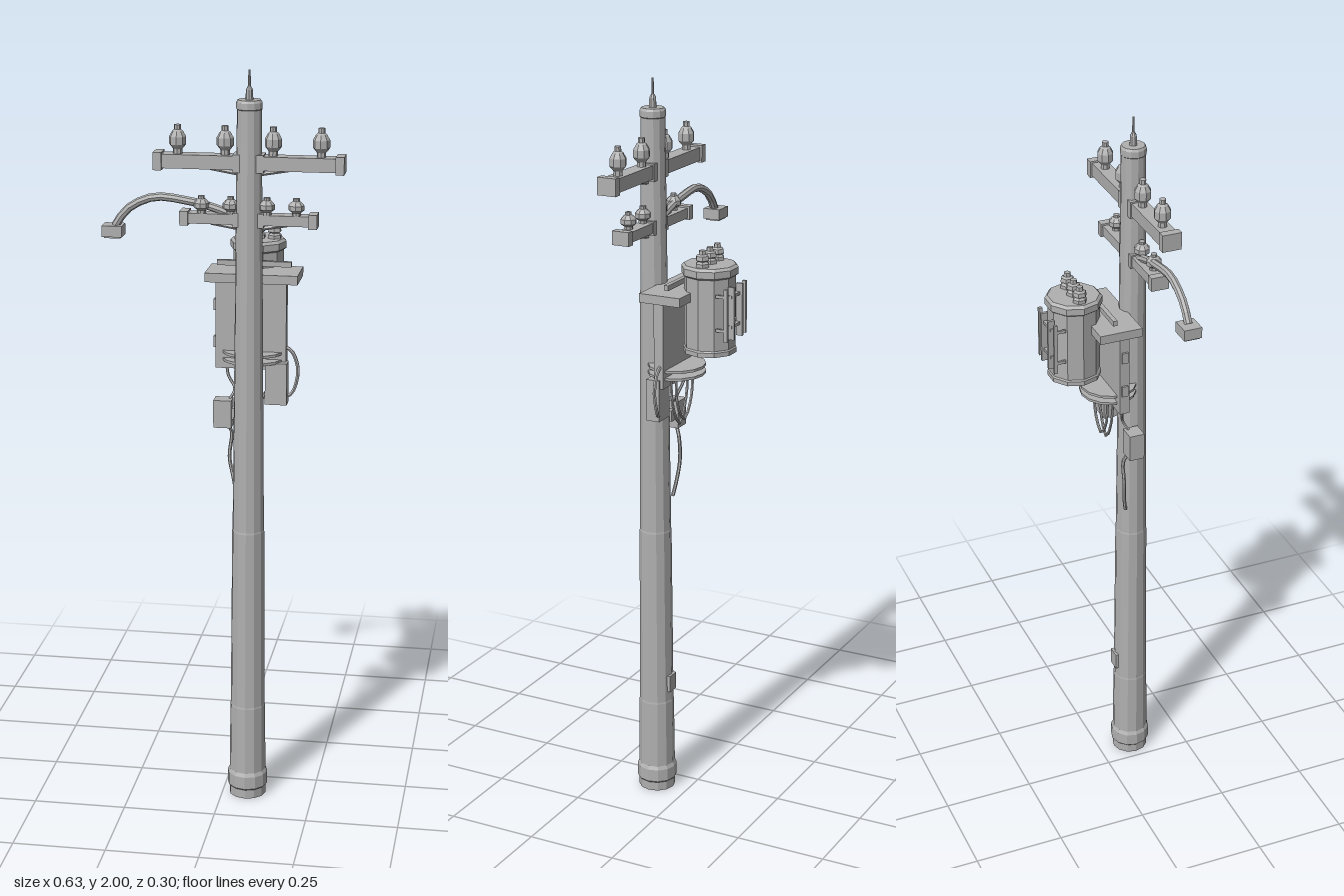
import * as THREE from 'three';

export function createModel() {
  const model = new THREE.Group();
  model.name = 'utilityPole';
  const grey = new THREE.MeshStandardMaterial({ color: 0xb0b0b0, flatShading: true, side: THREE.DoubleSide });
  grey.name = 'plain grey';
  const PX = 0.068, PZ = 0.095; // pole axis

  const add = (name, geo, x = 0, y = 0, z = 0) => {
    const m = new THREE.Mesh(geo, grey);
    m.name = name;
    m.position.set(x, y, z);
    model.add(m);
    return m;
  };
  // box given by its min and max corners
  const box = (name, x0, x1, y0, y1, z0, z1) =>
    add(name, new THREE.BoxGeometry(x1 - x0, y1 - y0, z1 - z0), (x0 + x1) / 2, (y0 + y1) / 2, (z0 + z1) / 2);
  const lathe = (name, pts, sides, x, y, z) =>
    add(name, new THREE.LatheGeometry(pts.map(p => new THREE.Vector2(...p)), sides), x, y, z);
  const tube = (name, pts, r, sides = 6, segs = 12) =>
    add(name, new THREE.TubeGeometry(new THREE.CatmullRomCurve3(pts.map(p => new THREE.Vector3(...p))), segs, r, sides));

  // tapered pole with foot collar, seams and cap
  lathe('pole', [[0, 0], [0.05, 0], [0.05, 0.025], [0.055, 0.03], [0.055, 0.065], [0.05, 0.075],
    [0.048, 0.265], [0.047, 0.27], [0.0435, 0.77], [0.0425, 0.775], [0.036, 1.45],
    [0.032, 1.9], [0.034, 1.902], [0.034, 1.918], [0.03, 1.925], [0, 1.925]], 12, PX, 0, PZ);
  lathe('topSpike', [[0.01, 0], [0.009, 0.025], [0.0035, 0.035], [0.003, 0.075], [0, 0.075]], 8, PX, 1.925, PZ);
  box('accessPlate', PX - 0.018, PX + 0.018, 0.3, 0.347, 0.043, 0.052);

  // cross arms with end caps, braces and insulators
  const crossArm = (half, y0, y1, depth, offsets, s) => {
    box('crossArm', PX - half, PX + half, y0, y1, PZ - depth, PZ + depth);
    box('armClamp', PX - 0.04, PX + 0.04, y0 - 0.006, y1 + 0.004, PZ - depth - 0.003, PZ + depth + 0.003);
    for (const side of [-1, 1]) {
      const cx = PX + side * (half - 0.008);
      box('armEndCap', cx - 0.011, cx + 0.011, y0 - 0.005, y1 + 0.005, PZ - depth - 0.005, PZ + depth + 0.005);
      tube('armBrace', [[PX + side * 0.03, y0 - 0.012, PZ], [PX + side * 0.1, y0, PZ]], 0.005, 5, 1);
      for (const o of offsets) {
        lathe('insulator', [[0.012, 0], [0.012, 0.012], [0.022, 0.024], [0.022, 0.044], [0.014, 0.058],
          [0.009, 0.062], [0.009, 0.074], [0, 0.076]].map(([r, h]) => [r * s[0], h * s[1]]),
          8, PX + side * o, y1, PZ + s[2]);
      }
    }
  };
  crossArm(0.243, 1.747, 1.783, 0.021, [0.062, 0.185], [1, 1, 0]);
  crossArm(0.175, 1.605, 1.632, 0.019, [0.047, 0.123], [0.95, 0.6, 0.006]);

  // street lamp
  tube('lampArm', [[0.045, 1.62, PZ], [-0.03, 1.647, PZ], [-0.1, 1.662, PZ], [-0.18, 1.668, PZ],
    [-0.25, 1.635, PZ], [-0.283, 1.59, PZ]], 0.011, 8);
  box('lampHead', -0.315, -0.262, 1.563, 1.592, 0.07, 0.118);
  box('lampRim', -0.31, -0.267, 1.559, 1.563, 0.075, 0.113);

  // platform and back panel
  box('platform', -0.053, 0.192, 1.442, 1.466, -0.045, 0.072);
  box('backPanel', -0.028, 0.16, 1.205, 1.442, 0.02, 0.047);
  box('clampBar', -0.03, 0.168, 1.475, 1.489, 0, 0.012);
  for (const y of [1.26, 1.36]) box('panelHinge', -0.034, -0.028, y, y + 0.03, 0.025, 0.042);

  // transformer tank with rims, bushings and cooling fins
  const TZ = -0.07;
  const tank = lathe('transformerTank', [[0, 0], [0.071, 0], [0.071, 0.012], [0.068, 0.016], [0.068, 0.205],
    [0.075, 0.21], [0.075, 0.228], [0.068, 0.235], [0, 0.235]], 10, PX + 0.001, 1.3, TZ);
  tank.rotation.y = Math.PI / 10;
  for (const i of [-1, 0, 1]) {
    lathe('bushing', [[0.019, 0], [0.019, 0.012], [0.012, 0.017], [0.019, 0.021], [0.017, 0.032],
      [0.01, 0.036], [0.009, 0.046], [0, 0.046]], 6, PX + 0.001 + i * 0.043, 1.532, TZ);
  }
  for (const side of [-1, 1]) {
    const x = PX + side * 0.054;
    box('coolingFin', x - 0.004, x + 0.004, 1.345, 1.485, -0.148, -0.138);
    for (const y of [1.37, 1.46]) box('finMount', x - 0.003, x + 0.003, y, y + 0.008, -0.14, -0.115);
    const x2 = PX + side * 0.024;
    box('coolingFin', x2 - 0.004, x2 + 0.004, 1.345, 1.485, -0.153, -0.135);
  }
  for (const y of [1.375, 1.455]) box('finTie', PX - 0.03, PX + 0.03, y, y + 0.008, -0.147, -0.13);

  // stacked thin shelves under the tank
  for (const y of [1.23, 1.25]) {
    const d = add('shelfRing', new THREE.CylinderGeometry(0.082, 0.082, 0.007, 14), PX + 0.002, y, 0.026);
    d.scale.z = 0.92;
  }

  // junction boxes and cables
  box('switchBox', 0.107, 0.165, 1.115, 1.228, 0.03, 0.068);
  box('meterBox', -0.027, 0.021, 1.052, 1.127, 0.05, 0.092);
  box('meterStrap', 0.015, 0.04, 1.075, 1.105, 0.06, 0.085);
  tube('sideCable', [[0.155, 1.265, 0.03], [0.172, 1.255, 0.03], [0.19, 1.205, 0.03], [0.175, 1.14, 0.03], [0.16, 1.13, 0.035]], 0.005);
  tube('upperCable', [[0.0, 1.215, 0.035], [0.005, 1.185, 0.04], [0.024, 1.15, 0.05], [0.01, 1.12, 0.065]], 0.004);
  tube('downCable', [[0.005, 1.06, 0.065], [0.016, 1.03, 0.05], [0.01, 0.96, 0.05], [0.022, 0.9, 0.055], [0.03, 0.86, 0.062]], 0.005);
  for (const [z, dip] of [[0.005, 1.1], [0.02, 1.085]]) {
    tube('loopCable', [[0.02, 1.23, z], [0.03, 1.15, z], [0.068, dip, z], [0.105, 1.14, z], [0.118, 1.23, z]], 0.004);
  }
  return model;
}
